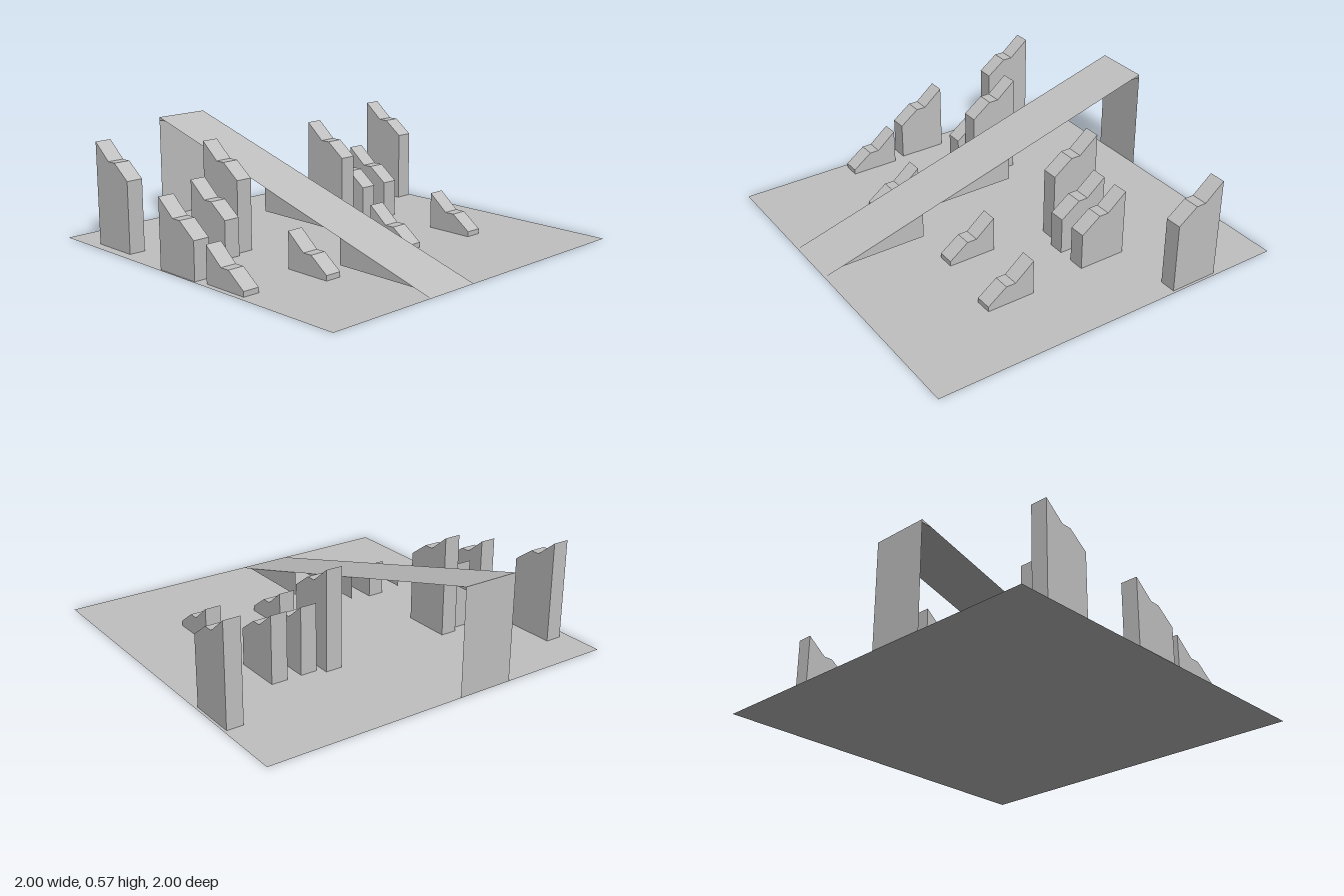
import * as THREE from 'three';

const grey = new THREE.MeshStandardMaterial({ color: 0xc0c0c0, side: THREE.DoubleSide });
grey.name = 'grey';

function add(group, name, geometry) {
  const mesh = new THREE.Mesh(geometry, grey);
  mesh.name = name;
  group.add(mesh);
  return mesh;
}

const shapeOf = (points) => new THREE.Shape(points.map(([x, y]) => new THREE.Vector2(x, y)));

// Block with a sloped, flat, sloped top falling towards +x
function blockGeometry(height) {
  const geometry = new THREE.ExtrudeGeometry(shapeOf([
    [0, 0], [0.265, 0], [0.265, height - 0.165], [0.16, height - 0.088], [0.107, height - 0.088], [0, height],
  ]), { depth: 0.09, bevelEnabled: false });
  return geometry;
}

export function createModel() {
  const model = new THREE.Group();
  model.name = 'rampCourse';

  // Ground sheet
  add(model, 'ground', new THREE.PlaneGeometry(2, 2).rotateX(-Math.PI / 2));

  // Long ramp sheet with an upright end panel
  const ramp = new THREE.Group();
  ramp.name = 'ramp';
  model.add(ramp);
  const rise = 0.57, zBack = 0.08, zFront = 0.385;
  const zMid = (zBack + zFront) / 2, width = zFront - zBack;
  const rampY = (x) => rise * (1 - x) / 2;
  const deck = add(ramp, 'rampDeck', new THREE.PlaneGeometry(Math.hypot(2, rise), width).rotateX(-Math.PI / 2));
  deck.rotation.z = -Math.atan2(rise, 2);
  deck.position.set(0, rise / 2, zMid);
  const panel = add(ramp, 'endPanel', new THREE.PlaneGeometry(width, rise).rotateY(-Math.PI / 2));
  panel.position.set(-1, rise / 2, zMid);

  // Triangular cheeks under both edges of the deck
  for (const [x0, x1] of [[-1, -0.94], [-0.12, 0.31], [0.42, 0.9]]) {
    for (const z of [zBack, zFront]) {
      const cheek = new THREE.ShapeGeometry(shapeOf([[x0, rampY(x1)], [x1, rampY(x1)], [x0, rampY(x0)]]));
      if (z === zBack) cheek.rotateY(0);
      add(ramp, 'rampCheek', cheek).position.z = z;
    }
  }

  // Stepped blocks: tall, medium and low, as [left x, back z]
  const sizes = [
    ['tallBlock', 0.543, [[-0.635, -0.985], [-0.415, -0.287], [-0.41, 0.457], [-0.78, 0.858]]],
    ['mediumBlock', 0.365, [[-0.375, -0.58], [-0.375, -0.41], [-0.375, 0.57], [-0.2, 0.9]]],
    ['lowBlock', 0.192, [[0.21, -0.61], [0.16, -0.19], [0.225, 0.452], [0.13, 0.88]]],
  ];
  for (const [name, height, places] of sizes) {
    const geometry = blockGeometry(height);
    for (const [x, z] of places) add(model, name, geometry).position.set(x, 0, z);
  }
  return model;
}
